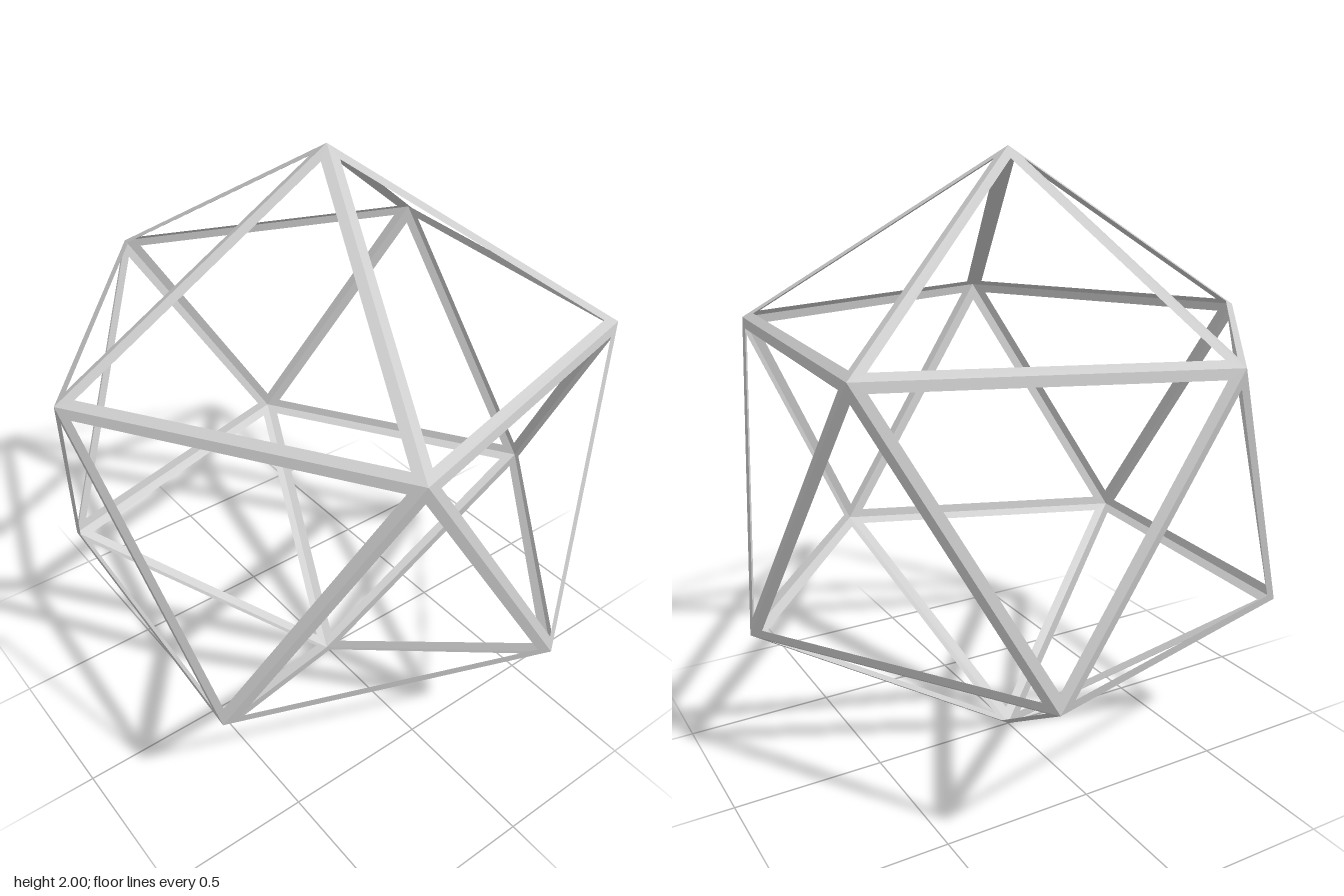
import * as THREE from 'three';

const INSET = 0.1; // share of each triangle taken by its border

// Flat triangular border: three mitred strips around an open centre
function triangleFrame(corners) {
  const centre = new THREE.Vector3();
  corners.forEach((c) => centre.addScaledVector(c, 1 / 3));
  const inner = corners.map((c) => c.clone().lerp(centre, INSET));
  const points = [];
  for (let i = 0; i < 3; i++) {
    const j = (i + 1) % 3;
    points.push(corners[i], corners[j], inner[j], corners[i], inner[j], inner[i]);
  }
  const geometry = new THREE.BufferGeometry().setFromPoints(points);
  geometry.computeVertexNormals();
  return geometry;
}

// Five points around the vertical axis
function ring(y, startDegrees) {
  const radius = 2 / Math.sqrt(5);
  return Array.from({ length: 5 }, (_, k) => {
    const a = THREE.MathUtils.degToRad(startDegrees + 72 * k);
    return new THREE.Vector3(radius * Math.cos(a), y, radius * Math.sin(a));
  });
}

export function createModel() {
  const model = new THREE.Group();
  model.name = 'icosahedronFrame';
  const material = new THREE.MeshStandardMaterial({
    color: 0xcccccc, flatShading: true, side: THREE.DoubleSide,
  });

  const top = new THREE.Vector3(0, 2, 0);
  const bottom = new THREE.Vector3(0, 0, 0);
  const rise = 1 / Math.sqrt(5);
  const upper = ring(1 + rise, 39.2);
  const lower = ring(1 - rise, 3.2);

  const add = (name, ...corners) => {
    const mesh = new THREE.Mesh(triangleFrame(corners), material);
    mesh.name = name;
    model.add(mesh);
  };

  // Top cap, zigzag band and bottom cap, one sector at a time
  for (let k = 0; k < 5; k++) {
    const n = (k + 1) % 5;
    add(`topFrame${k + 1}`, top, upper[n], upper[k]);
    add(`bandFrameUp${k + 1}`, upper[k], lower[n], lower[k]);
    add(`bandFrameDown${k + 1}`, upper[k], upper[n], lower[n]);
    add(`bottomFrame${k + 1}`, bottom, lower[k], lower[n]);
  }
  return model;
}
